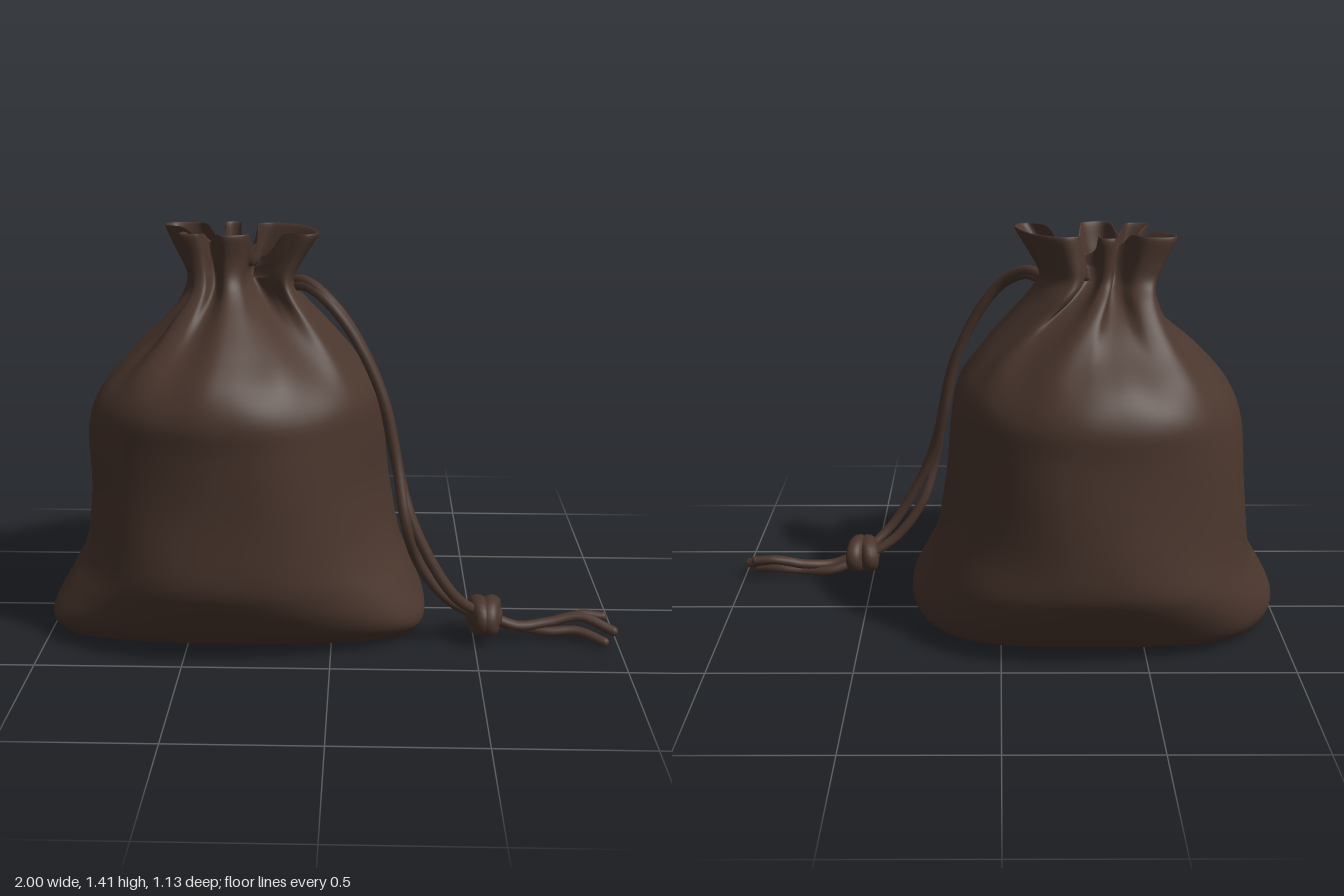
import * as THREE from 'three';

const V = (x, y, z) => new THREE.Vector3(x, y, z);

// Gathered mouth outline (x, z), clockwise from the model's left
const MOUTH = [
  [-0.05, 0.1], [-0.09, 0.17], [-0.18, 0.1], [-0.25, 0.04], [-0.27, 0.11], [-0.29, 0.18],
  [-0.36, 0.2], [-0.41, 0.12], [-0.45, 0.17], [-0.51, 0.15], [-0.48, 0.08], [-0.4, 0.05],
  [-0.42, 0], [-0.5, -0.01], [-0.58, -0.06], [-0.57, -0.13], [-0.48, -0.13], [-0.42, -0.06],
  [-0.38, -0.06], [-0.38, -0.15], [-0.33, -0.15], [-0.32, -0.06], [-0.27, -0.05],
  [-0.26, -0.11], [-0.2, -0.13], [-0.1, -0.05]];

// Sack sections: y, x min, x max, z max, z min, amount of gathering
const SECTIONS = [
  [0.006, -0.33, -0.33, 0, 0, 0],
  [0.005, -0.7, 0.04, 0.22, -0.22, 0],
  [0.004, -0.94, 0.27, 0.37, -0.36, 0],
  [0.03, -0.985, 0.315, 0.42, -0.41, 0],
  [0.09, -1, 0.33, 0.47, -0.455, 0],
  [0.2, -0.94, 0.28, 0.53, -0.52, 0],
  [0.32, -0.885, 0.235, 0.562, -0.558, 0],
  [0.55, -0.855, 0.195, 0.557, -0.55, 0],
  [0.75, -0.845, 0.178, 0.56, -0.535, 0],
  [0.87, -0.81, 0.155, 0.567, -0.53, 0.02],
  [0.97, -0.73, 0.085, 0.52, -0.475, 0.06],
  [1.06, -0.64, 0.01, 0.42, -0.375, 0.15],
  [1.14, -0.575, -0.06, 0.315, -0.285, 0.34],
  [1.21, -0.53, -0.115, 0.225, -0.2, 0.7],
  [1.26, -0.525, -0.13, 0.185, -0.14, 0.93],
  [1.32, -0.55, -0.1, 0.175, -0.125, 1],
  [1.4, -0.585, -0.05, 0.185, -0.125, 1],
  [1.405, -0.575, -0.06, 0.175, -0.115, 1],
  [1.33, -0.53, -0.12, 0.155, -0.105, 1],
  [1.26, -0.48, -0.18, 0.125, -0.085, 1],
  [1.25, -0.32, -0.32, 0.02, 0.02, 1]];

const smooth = THREE.MathUtils.smoothstep;

function sackGeometry() {
  const N = 208, M = 100;
  const spline = pts => new THREE.CatmullRomCurve3(pts, false, 'catmullrom', 0.5);
  const A = spline(SECTIONS.map(s => V(s[0], s[1], s[2])));
  const B = spline(SECTIONS.map(s => V(s[3], s[4], s[5])));
  const mouth = new THREE.CatmullRomCurve3(MOUTH.map(p => V(p[0], 0, p[1])), true, 'catmullrom', 0.5);
  const rim = [...Array(N).keys()].map(i => {
    // first outline point sits about 20 degrees round from +x
    const p = mouth.getPoint((i / N - 0.04 + 1) % 1);
    return [(p.x + 0.318) / 0.267, (p.z - 0.03) / 0.165];
  });
  const pos = [], idx = [];
  for (let j = 0; j <= M; j++) {
    const a = A.getPoint(j / M), b = B.getPoint(j / M);
    const w = Math.min(1, Math.max(0, b.z));
    const low = 1 - smooth(a.x, 0.08, 0.42);
    for (let i = 0; i < N; i++) {
      const t = i / N * Math.PI * 2, c = Math.cos(t), s = Math.sin(t);
      // rounded section, fuller on the model's right and at the back of the base
      const power = 2 / THREE.MathUtils.lerp(2.2 - 0.18 * c + 0.06 * s, 2.62 - 0.12 * s, low);
      let ux = Math.sign(c) * Math.abs(c) ** power, uz = Math.sign(s) * Math.abs(s) ** power;
      // pulled into folds towards the neck
      ux += (rim[i][0] - ux) * w;
      uz += (rim[i][1] - uz) * w;
      // soft dents in the leather, and pleats fanning out over the shoulders
      const soft = smooth(a.x, 0.1, 0.35) * (1 - smooth(a.x, 0.9, 1.1));
      const fan = smooth(a.x, 0.88, 1.05) * (1 - smooth(a.x, 1.08, 1.22));
      const dent = 1 + soft * (0.007 * Math.sin(3 * t + 7 * a.x) + 0.006 * Math.sin(5 * t - 9 * a.x + 1))
        + fan * 0.025 * Math.cos(11 * t + Math.sin(2 * t));
      const x = (a.y + a.z) / 2 + ux * dent * (a.z - a.y) / 2;
      let z = (b.x + b.y) / 2 + uz * dent * (b.x - b.y) / 2;
      // base corners swing forward
      const end = Math.min(1, Math.abs((x + 0.335) / 0.665));
      z += 0.09 * low * end ** 5;
      let y = a.x + 0.03 * (1 - end * end) * (1 - smooth(a.x, 0.05, 0.4));
      // rim dips where the folds run inwards
      y -= smooth(a.x, 1.27, 1.4) * 0.09 * (1 - smooth(Math.hypot(...rim[i]), 0.3, 0.85));
      pos.push(x, y, z);
      if (j < M) {
        const k = j * N + i, n = j * N + (i + 1) % N;
        idx.push(k, k + N, n, n, k + N, n + N);
      }
    }
  }
  const g = new THREE.BufferGeometry();
  g.setAttribute('position', new THREE.Float32BufferAttribute(pos, 3));
  g.setIndex(idx);
  g.computeVertexNormals();
  return g;
}

export function createModel() {
  const group = new THREE.Group();
  const leather = new THREE.MeshStandardMaterial({ color: 0x4a362d, side: THREE.DoubleSide });
  leather.name = 'dark brown leather';
  const add = (name, geometry) => {
    const m = new THREE.Mesh(geometry, leather);
    m.name = name;
    group.add(m);
    return m;
  };

  add('sack', sackGeometry());

  // Round cord with closed ends
  const cord = (name, pts, r) => {
    const curve = new THREE.CatmullRomCurve3(pts.map(p => V(...p)));
    add(name, new THREE.TubeGeometry(curve, 70, r, 10));
    for (const p of [pts[0], pts[pts.length - 1]])
      add(name + 'End', new THREE.SphereGeometry(r, 10, 8)).position.set(...p);
  };

  // Two strands leave the neck together and part above the knot
  const hang = [[-0.16, 1.24, 0.06], [-0.09, 1.25, 0.125], [-0.01, 1.2, 0.185], [0.075, 1.09, 0.215],
    [0.165, 0.9, 0.24], [0.215, 0.68, 0.265]];
  cord('outerStrand', [...hang, [0.27, 0.48, 0.32], [0.35, 0.31, 0.335], [0.43, 0.19, 0.325], [0.52, 0.11, 0.28]], 0.019);
  cord('innerStrand', [...hang.map(p => [p[0] + 0.006, p[1] - 0.015, p[2] + 0.012]),
    [0.255, 0.46, 0.335], [0.3, 0.31, 0.305], [0.4, 0.17, 0.285], [0.52, 0.09, 0.26]], 0.019);

  // Knot: two crossed wraps round a core
  for (const [tilt, x] of [[0.2, 0.515], [-0.2, 0.555]]) {
    const wrap = add('knotWrap', new THREE.TorusGeometry(0.053, 0.033, 12, 28));
    wrap.rotation.set(0, Math.PI / 2 + tilt, 0);
    wrap.position.set(x, 0.1, 0.27);
    wrap.scale.set(1.04, 0.82, 1);
  }
  const core = add('knotCore', new THREE.SphereGeometry(0.064, 18, 14));
  core.position.set(0.535, 0.1, 0.268);

  // Loose cord tails
  cord('upperTail', [[0.55, 0.1, 0.27], [0.65, 0.06, 0.265], [0.76, 0.065, 0.245], [0.87, 0.085, 0.24], [0.982, 0.052, 0.285]], 0.018);
  cord('lowerTail', [[0.55, 0.08, 0.26], [0.65, 0.045, 0.235], [0.76, 0.035, 0.255], [0.86, 0.04, 0.26], [0.95, 0.02, 0.305]], 0.017);
  cord('splitTail', [[0.8, 0.075, 0.24], [0.88, 0.09, 0.23], [0.95, 0.085, 0.235]], 0.016);

  return group;
}
